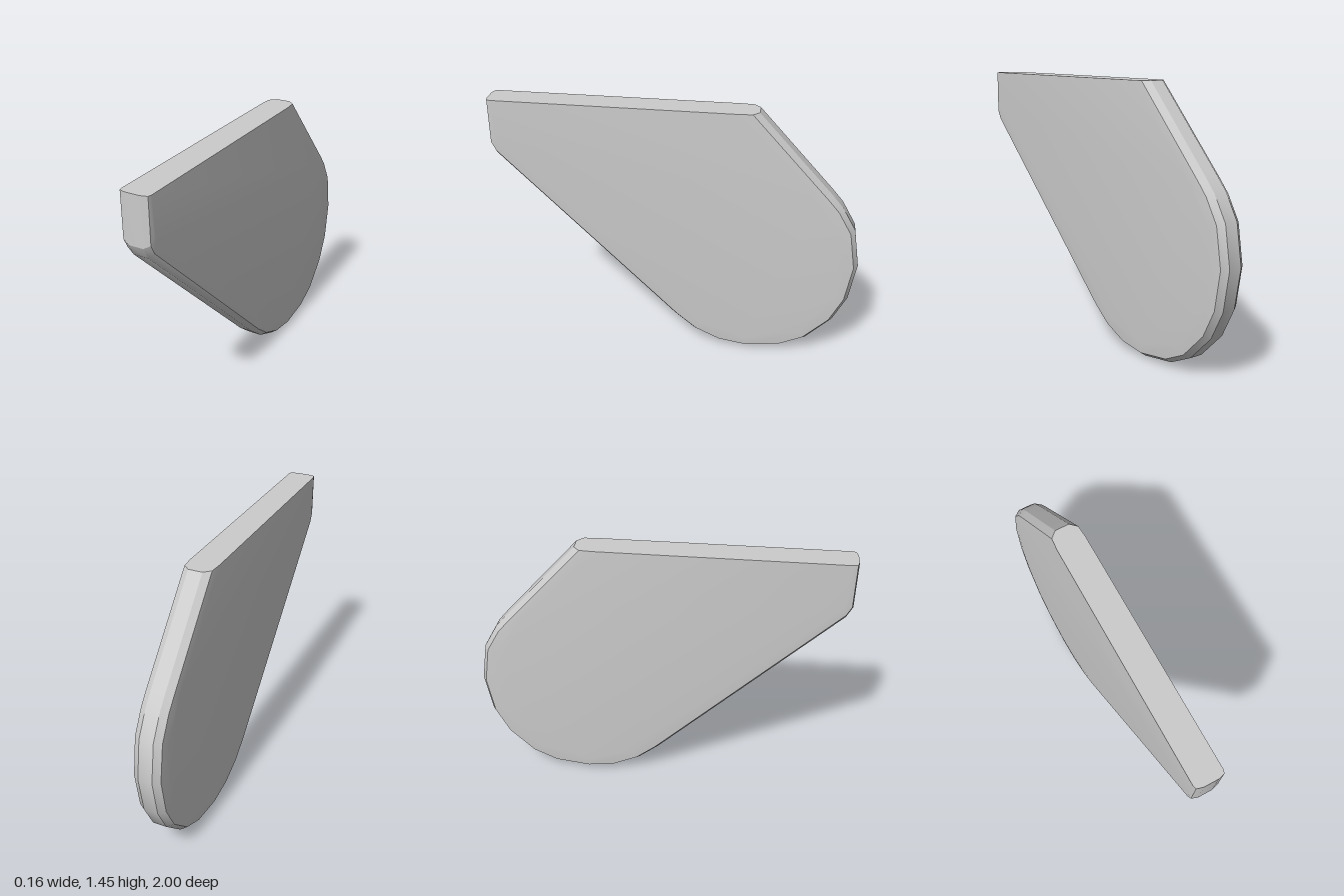
import * as THREE from 'three';
import { toCreasedNormals } from 'three/addons/utils/BufferGeometryUtils.js';

// Side outline as [z, y, bevel weight of the edge that starts here]
const OUTLINE = [
  [1, 1.445, 0.4], [1, 1.19, 0.7], [0.97, 1.13, 1], [0, 0.18, 1], [-0.11, 0.09, 1],
  [-0.25, 0.025, 1], [-0.41, 0, 1], [-0.61, 0.025, 1], [-0.75, 0.09, 1], [-0.89, 0.23, 1],
  [-0.965, 0.38, 1], [-1, 0.595, 1], [-0.965, 0.81, 1], [-0.89, 0.94, 1], [-0.83, 1.01, 1],
  [-0.43, 1.445, 0],
];

// Rim cross-section as [x, inset]
const RIM = [[0.078, 0.075], [0.073, 0.024], [0.038, 0], [-0.038, 0], [-0.073, 0.024], [-0.078, 0.075]];

// Moves every edge inwards by its weight and intersects neighbouring edges
function insetOutline(distance) {
  const n = OUTLINE.length;
  const edges = OUTLINE.map(([z, y, weight], i) => {
    const [z2, y2] = OUTLINE[(i + 1) % n];
    const dir = new THREE.Vector2(z - z2, y2 - y).normalize();
    const normal = new THREE.Vector2(-dir.y, dir.x);
    return { normal, c: normal.x * -z + normal.y * y + weight * distance };
  });
  return edges.map((b, i) => {
    const a = edges[(i + n - 1) % n];
    const det = a.normal.cross(b.normal);
    return new THREE.Vector2(
      (a.c * b.normal.y - b.c * a.normal.y) / det,
      (a.normal.x * b.c - b.normal.x * a.c) / det,
    );
  });
}

function plateGeometry() {
  const n = OUTLINE.length;
  const last = (RIM.length - 1) * n;
  const positions = [];
  const index = [];
  const rings = RIM.map(([, inset]) => insetOutline(inset));
  rings.forEach((ring, k) => ring.forEach((p) => positions.push(RIM[k][0], p.y, -p.x)));

  // Bevelled rim
  for (let k = 0; k < RIM.length - 1; k++) {
    for (let i = 0; i < n; i++) {
      const j = (i + 1) % n;
      const a = k * n + i, b = k * n + j, c = a + n, d = b + n;
      index.push(b, a, c, b, c, d);
    }
  }
  // Flat left and right faces
  for (const [a, b, c] of THREE.ShapeUtils.triangulateShape(rings[0], [])) {
    index.push(a, b, c, last + a, last + c, last + b);
  }

  const geometry = new THREE.BufferGeometry();
  geometry.setAttribute('position', new THREE.Float32BufferAttribute(positions, 3));
  geometry.setIndex(index);
  return toCreasedNormals(geometry, 0.4);
}

export function createModel() {
  const group = new THREE.Group();
  group.name = 'roundedPlate';
  const plate = new THREE.Mesh(plateGeometry(), new THREE.MeshStandardMaterial({ color: 0xcccccc }));
  plate.name = 'plate';
  group.add(plate);
  return group;
}
